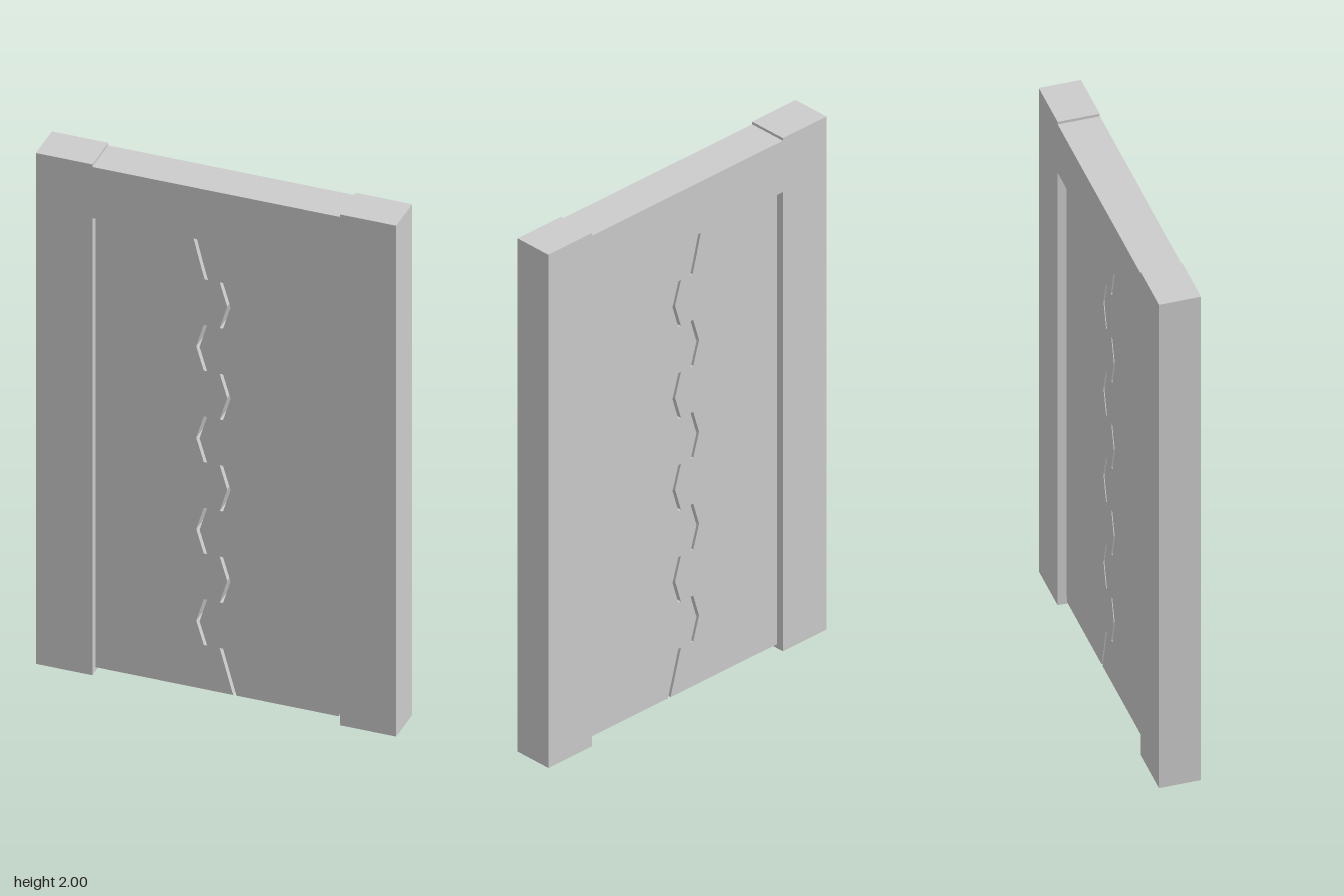
import * as THREE from 'three';

const material = new THREE.MeshStandardMaterial({ color: 0xcccccc });
const GAP = 0.006; // half the width of the slit between the leaves
const LEAF_DEPTH = 0.09;
const FRAME_DEPTH = 0.148;
const TOP = 1.79, BOTTOM = 0.015, INNER = 0.443;

// Centre line of the interlocking seam, from the top down
function seamPoints() {
  const points = [[-0.09, TOP], [-0.065, 1.69], [-0.046, 1.62]];
  const step = 0.179;
  for (let i = 0; i < 8; i++) {
    const y = 1.62 - i * step;
    const [edge, tip] = i % 2 === 0 ? [0.008, 0.035] : [-0.049, -0.076];
    points.push([edge, y], [tip, y - step / 2], [edge, y - step]);
  }
  points.push([0.008, 1.62 - 8 * step], [0.056, BOTTOM]);
  return points;
}

function box(name, w, h, x, y) {
  const mesh = new THREE.Mesh(new THREE.BoxGeometry(w, h, FRAME_DEPTH), material);
  mesh.name = name;
  mesh.position.set(x, y, 0);
  return mesh;
}

// Door leaf: the toothed seam on one side, a straight outer edge on the other
function leaf(name, seamOffset, outer) {
  const outline = seamPoints().map(([x, y]) => new THREE.Vector2(x + seamOffset, y));
  outer.forEach(([x, y]) => outline.push(new THREE.Vector2(x, y)));
  const geometry = new THREE.ExtrudeGeometry(new THREE.Shape(outline), {
    depth: LEAF_DEPTH, bevelEnabled: false,
  });
  geometry.translate(0, 0, -LEAF_DEPTH / 2);
  const mesh = new THREE.Mesh(geometry, material);
  mesh.name = name;
  return mesh;
}

export function createModel() {
  const model = new THREE.Group();
  model.name = 'slidingDoor';

  // Frame: two posts and a slightly lower lintel
  const frame = new THREE.Group();
  frame.name = 'frame';
  frame.add(
    box('leftPost', 0.202, 2, 0.544, 1),
    box('rightPost', 0.202, 2, -0.544, 1),
    box('lintel', INNER * 2, 0.2, 0, 1.89),
  );

  // Leaves, the left one with a clipped lower outer corner
  const doors = new THREE.Group();
  doors.name = 'doorLeaves';
  doors.add(
    leaf('rightLeaf', -GAP, [[-INNER, BOTTOM], [-INNER, TOP]]),
    leaf('leftLeaf', GAP, [[0.428, BOTTOM], [0.438, 0.05], [0.438, TOP]]),
  );

  model.add(frame, doors);
  return model;
}
